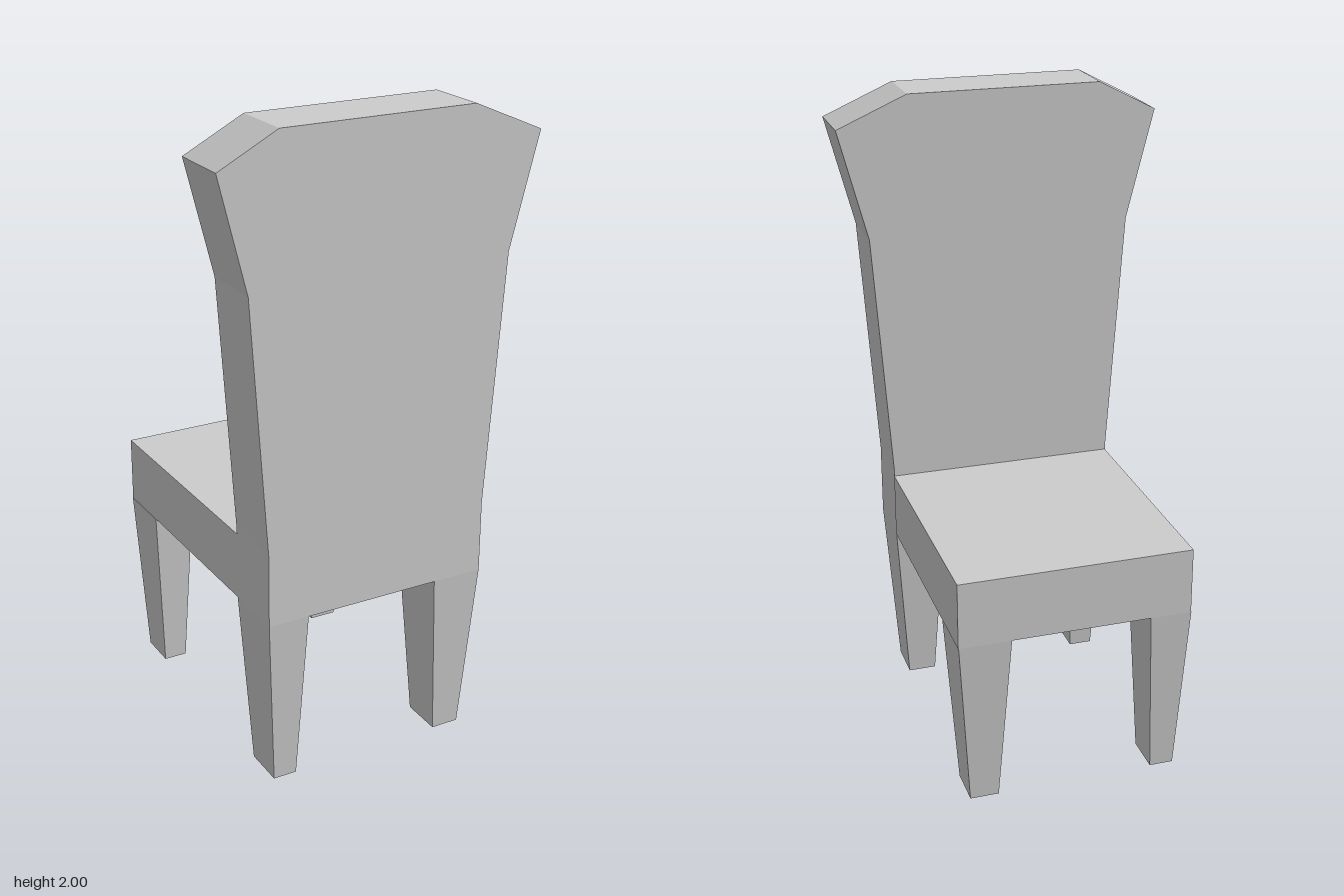
import * as THREE from 'three';

const material = new THREE.MeshStandardMaterial({ color: 0xcccccc, flatShading: true });

const SEAT_BOTTOM = 0.55;
const SEAT_TOP = 0.76;

function addPart(group, name, geometry) {
  const mesh = new THREE.Mesh(geometry, material);
  mesh.name = name;
  group.add(mesh);
  return mesh;
}

// Tapered leg: x and z ranges at the top and at the foot
function legGeometry(top, foot) {
  const geometry = new THREE.BoxGeometry(1, 1, 1);
  const p = geometry.attributes.position;
  for (let i = 0; i < p.count; i++) {
    const isTop = p.getY(i) > 0;
    const { x, z } = isTop ? top : foot;
    p.setXYZ(i, x[p.getX(i) > 0 ? 1 : 0], isTop ? SEAT_BOTTOM : 0, z[p.getZ(i) > 0 ? 1 : 0]);
  }
  geometry.computeVertexNormals();
  return geometry;
}

export function createModel() {
  const chair = new THREE.Group();
  chair.name = 'chair';

  // Seat slab
  const seat = addPart(chair, 'seat', new THREE.BoxGeometry(0.727, SEAT_TOP - SEAT_BOTTOM, 0.775));
  seat.position.set(0, (SEAT_TOP + SEAT_BOTTOM) / 2, -0.1);

  // Flared backrest with clipped top corners
  const outline = [
    [-0.365, SEAT_BOTTOM], [0.362, SEAT_BOTTOM], [0.362, 0.78], [0.415, 1.56], [0.505, 1.905],
    [0.285, 2], [-0.325, 2], [-0.508, 1.905], [-0.42, 1.56], [-0.365, 0.78],
  ].map(([x, y]) => new THREE.Vector2(x, y));
  const backrest = addPart(chair, 'backrest',
    new THREE.ExtrudeGeometry(new THREE.Shape(outline), { depth: 0.2, bevelEnabled: false }));
  backrest.position.z = 0.288;

  // Four tapered legs
  const sides = [
    { name: 'Left', top: [0.2, 0.362], foot: [0.235, 0.325] },
    { name: 'Right', top: [-0.365, -0.235], foot: [-0.335, -0.26] },
  ];
  const rows = [
    { name: 'front', top: [-0.487, -0.3], foot: [-0.455, -0.33] },
    { name: 'back', top: [0.288, 0.488], foot: [0.322, 0.455] },
  ];
  for (const row of rows) {
    for (const side of sides) {
      addPart(chair, `${row.name}${side.name}Leg`,
        legGeometry({ x: side.top, z: row.top }, { x: side.foot, z: row.foot }));
    }
  }

  return chair;
}
